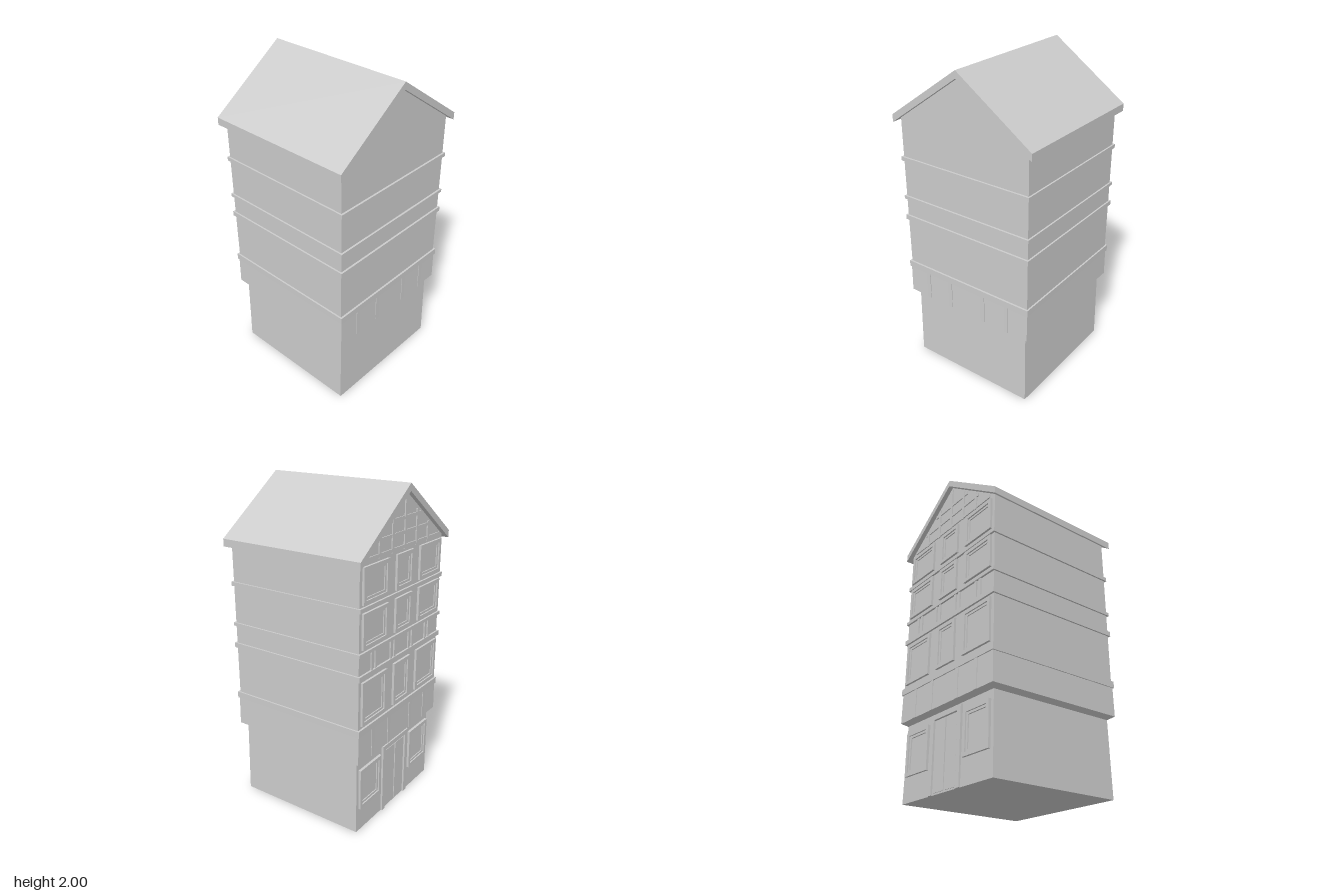
import * as THREE from 'three';

const mat = new THREE.MeshStandardMaterial({ color: 0xcccccc, flatShading: true });

export function createModel() {
  const root = new THREE.Group();
  const add = (geo, name, parent = root) => {
    const m = new THREE.Mesh(geo, mat);
    m.name = name;
    parent.add(m);
    return m;
  };
  const group = (name) => {
    const g = new THREE.Group();
    g.name = name;
    root.add(g);
    return g;
  };
  // box given by its minimum and maximum corners
  const box = (name, parent, x0, x1, y0, y1, z0, z1) => {
    const m = add(new THREE.BoxGeometry(x1 - x0, y1 - y0, z1 - z0), name, parent);
    m.position.set((x0 + x1) / 2, (y0 + y1) / 2, (z0 + z1) / 2);
    return m;
  };
  // storey block with a different half width at bottom and top
  const block = (name, y0, y1, bottom, top) => {
    const g = new THREE.BoxGeometry(2, y1 - y0, 2);
    g.translate(0, (y0 + y1) / 2, 0);
    const p = g.attributes.position;
    for (let i = 0; i < p.count; i++) {
      const s = p.getY(i) > (y0 + y1) / 2 ? top : bottom;
      p.setX(i, p.getX(i) * s);
      p.setZ(i, p.getZ(i) * s);
    }
    g.computeVertexNormals();
    return add(g, name);
  };
  // profile in the z-y plane, extruded from x0 to x1
  const alongX = (name, parent, shape, x0, x1) => {
    const g = new THREE.ExtrudeGeometry(shape, { depth: x1 - x0, bevelEnabled: false });
    g.rotateY(-Math.PI / 2); // shape x becomes z, depth becomes -x
    g.translate(x1, 0, 0);
    return add(g, name, parent);
  };
  const poly = (pts) => new THREE.Shape(pts.map(([a, b]) => new THREE.Vector2(a, b)));
  const rect = (z0, z1, y0, y1) => poly([[z0, y0], [z1, y0], [z1, y1], [z0, y1]]);

  // ground floor, jetty and first storey
  block('groundFloor', 0, 0.46, 0.42, 0.415);
  block('jetty', 0.46, 0.48, 0.415, 0.448);
  block('lowerStorey', 0.48, 0.68, 0.448, 0.446);

  // upper storeys with gable ends
  alongX('upperStoreys', root, poly([
    [-0.443, 0.67], [0.443, 0.67], [0.443, 1.65], [0, 1.96], [-0.443, 1.65],
  ]), -0.441, 0.441);

  // saddle roof
  alongX('roof', root, poly([
    [-0.48, 1.62], [0, 1.956], [0.48, 1.62], [0.48, 1.665], [0, 2], [-0.48, 1.665],
  ]), -0.47, 0.47);

  // string courses around all sides
  const bands = group('stringCourses');
  for (const [y0, y1] of [[0.657, 0.697], [0.995, 1.025], [1.135, 1.155], [1.383, 1.408]]) {
    box('stringCourse', bands, -0.453, 0.453, y0, y1, -0.453, 0.453);
  }

  // slim posts of the lower storey on both gable sides
  const posts = group('lowerPosts');
  for (const side of [-1, 1]) {
    for (const z of [-0.3, -0.125, 0.125, 0.3]) {
      box('lowerPost', posts, side * 0.446 - 0.005, side * 0.446 + 0.005, 0.48, 0.66, z - 0.013, z + 0.013);
    }
  }

  // decorated gable facade
  const facade = group('facade');
  const frame = (name, z0, z1, y0, y1, w, x0, x1) => {
    const s = rect(z0, z1, y0, y1);
    s.holes.push(rect(z0 + w, z1 - w, y0 + w, y1 - w));
    alongX(name, facade, s, x0, x1);
  };
  const windowFrame = (z0, z1, y0, y1, wall) => {
    frame('windowSurround', z0, z1, y0, y1, 0.022, wall - 0.014, wall + 0.01);
    frame('windowSash', z0 + 0.022, z1 - 0.022, y0 + 0.022, y1 - 0.022, 0.014, wall - 0.006, wall + 0.01);
  };

  // three windows on each upper storey
  for (const [y0, y1] of [[0.715, 0.98], [1.17, 1.375], [1.42, 1.625]]) {
    for (const [z0, z1] of [[-0.42, -0.17], [-0.09, 0.09], [0.17, 0.42]]) {
      windowFrame(z0, z1, y0, y1, -0.441);
    }
  }

  // ground floor windows beside the door
  for (const [z0, z1] of [[-0.395, -0.17], [0.17, 0.395]]) windowFrame(z0, z1, 0.15, 0.41, -0.418);

  // door
  for (const z of [-0.13, 0.13]) box('doorPost', facade, -0.43, -0.41, 0, 0.44, z - 0.016, z + 0.016);
  box('doorLintel', facade, -0.43, -0.41, 0.42, 0.45, -0.146, 0.146);
  for (const side of [-1, 1]) {
    box('doorLeaf', facade, -0.424, -0.41, 0.01, 0.41, side * 0.055 - 0.05, side * 0.055 + 0.05);
  }

  // pairs of short studs in the parapet strip
  for (const z of [-0.3, -0.1, 0.1, 0.3]) {
    for (const d of [-0.02, 0.02]) {
      box('parapetStud', facade, -0.449, -0.435, 1.025, 1.135, z + d - 0.009, z + d + 0.009);
    }
  }

  // timber grid in the gable, cut off by the roof slope
  const slopeY = (z) => 1.945 - 0.7 * Math.abs(z);
  for (const z of [-0.26, -0.13, 0, 0.13, 0.26]) {
    box('gablePost', facade, -0.448, -0.435, 1.64, slopeY(z) - 0.01, z - 0.01, z + 0.01);
  }
  for (const y of [1.655, 1.735, 1.815]) {
    const half = (1.935 - y) / 0.7;
    box('gableRail', facade, -0.447, -0.435, y - 0.01, y + 0.01, -half, half);
  }

  return root;
}
